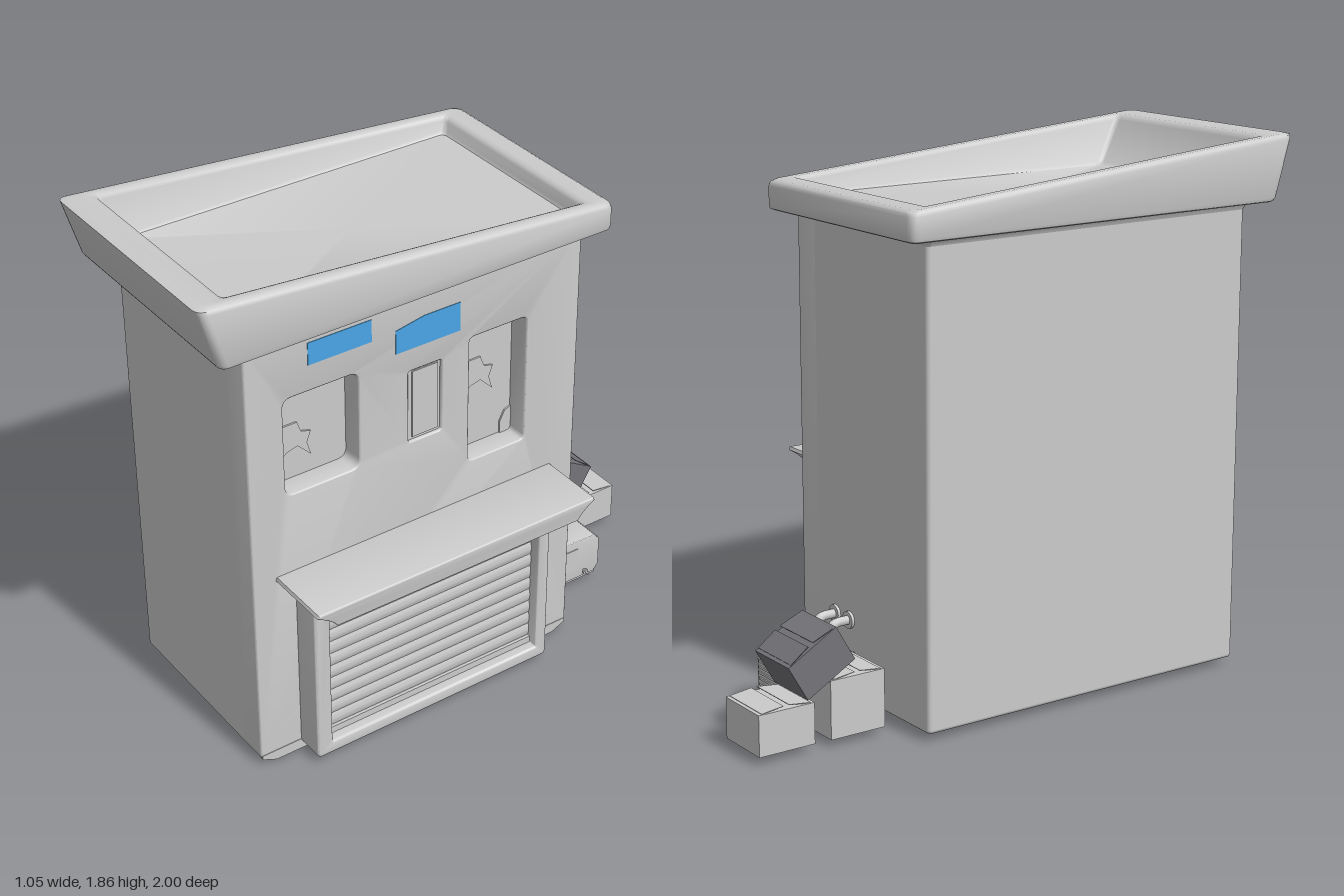
import * as THREE from 'three';
import { toCreasedNormals } from 'three/addons/utils/BufferGeometryUtils.js';
import { RoundedBoxGeometry } from 'three/addons/geometries/RoundedBoxGeometry.js';

const grey = new THREE.MeshStandardMaterial({ color: 0xcccccc });
const greyThin = new THREE.MeshStandardMaterial({ color: 0xcccccc, side: THREE.DoubleSide });
const blue = new THREE.MeshStandardMaterial({ color: 0x49a5e6 });
const dark = new THREE.MeshStandardMaterial({ color: 0x74747a });

function add(parent, name, geometry, material = grey) {
  const mesh = new THREE.Mesh(geometry, material);
  mesh.name = name;
  parent.add(mesh);
  return mesh;
}

// Box given by its extents, optionally with rounded edges
function box(parent, name, [x0, x1], [y0, y1], [z0, z1], r = 0, material = grey) {
  const size = [x1 - x0, y1 - y0, z1 - z0];
  const geo = r ? new RoundedBoxGeometry(...size, 3, r) : new THREE.BoxGeometry(...size);
  const mesh = add(parent, name, geo, material);
  mesh.position.set((x0 + x1) / 2, (y0 + y1) / 2, (z0 + z1) / 2);
  return mesh;
}

// Rounded rectangle in the side plane (shape x = -z, shape y = y)
function roundRect(path, z0, z1, y0, y1, r) {
  const a = -z1, b = -z0;
  path.moveTo(a + r, y0);
  path.lineTo(b - r, y0).quadraticCurveTo(b, y0, b, y0 + r);
  path.lineTo(b, y1 - r).quadraticCurveTo(b, y1, b - r, y1);
  path.lineTo(a + r, y1).quadraticCurveTo(a, y1, a, y1 - r);
  path.lineTo(a, y0 + r).quadraticCurveTo(a, y0, a + r, y0);
  return path;
}
const polygon = (zy) => new THREE.Shape(zy.map(([z, y]) => new THREE.Vector2(-z, y)));

// Extrude a side-plane shape from x0 to x1
function sideExtrude(shape, x0, x1, bevel = 0) {
  const geo = new THREE.ExtrudeGeometry(shape, {
    depth: x1 - x0 - 2 * bevel, bevelEnabled: bevel > 0, bevelSize: bevel,
    bevelThickness: bevel, bevelOffset: -bevel, bevelSegments: 3, curveSegments: 8,
  });
  geo.rotateY(Math.PI / 2).translate(x0 + bevel, 0, 0);
  return toCreasedNormals(geo, 0.6);
}

// Roof rim and basin, lofted through rounded rectangles whose top follows the slope
function roofGeometry() {
  const slope = (z) => 1.863 - (1 - z) * 0.084;
  const rings = [ // side inset, back z, front z, corner radius, height
    [0.05, -0.46, 0.83, 0.015, () => 1.612],
    [0.044, -0.466, 0.836, 0.015, () => 1.627],
    [0.03, -0.48, 0.85, 0.02, () => 1.633],
    [0.015, -0.535, 0.92, 0.02, () => 1.633],
    [0.004, -0.546, 0.93, 0.025, () => 1.638],
    [0, -0.55, 0.938, 0.03, () => 1.65],
    [0, -0.55, 0.995, 0.03, (z) => slope(z) - 0.02],
    [0.005, -0.546, 1.0, 0.03, (z) => slope(z) - 0.007],
    [0.018, -0.532, 0.98, 0.03, slope],
    [0.043, -0.475, 0.905, 0.02, slope],
    [0.054, -0.46, 0.89, 0.02, (z) => slope(z) - 0.006],
    [0.059, -0.452, 0.883, 0.02, (z) => slope(z) - 0.018],
    [0.063, -0.447, 0.815, 0.02, () => 1.69],
    [0.07, -0.44, 0.80, 0.02, () => 1.68],
  ];
  const pos = [], idx = [], steps = 5, n = 4 * steps;
  for (const [d, zb, zf, r, height] of rings) {
    const x0 = -0.527 + d, x1 = 0.334 - d;
    for (let c = 0; c < 4; c++) {
      const cx = c === 0 || c === 3 ? x1 - r : x0 + r;
      const cz = c < 2 ? zb + r : zf - r;
      for (let s = 0; s < steps; s++) {
        const t = (c + s / (steps - 1)) * Math.PI / 2;
        const z = cz - r * Math.sin(t);
        pos.push(cx + r * Math.cos(t), height(z), z);
      }
    }
  }
  for (let k = 0; k < rings.length - 1; k++) {
    for (let i = 0; i < n; i++) {
      const a = k * n + i, b = k * n + (i + 1) % n;
      idx.push(a, b, b + n, a, b + n, a + n);
    }
  }
  const last = (rings.length - 1) * n, centre = rings.length * n;
  pos.push(-0.0965, 1.68, 0.18);
  for (let i = 0; i < n; i++) idx.push(last + i, last + (i + 1) % n, centre);
  const geo = new THREE.BufferGeometry();
  geo.setAttribute('position', new THREE.Float32BufferAttribute(pos, 3));
  geo.setIndex(idx);
  return toCreasedNormals(geo, 0.8);
}

// Carton with two slightly raised lid flaps, centred on its origin
function carton(parent, name, h, y, z, material, tilt = 0) {
  const g = new THREE.Group();
  g.name = name;
  const w = 0.205;
  box(g, 'cartonBody', [-w / 2, w / 2], [-h / 2, h / 2], [-w / 2, w / 2], 0, material);
  for (const s of [-1, 1]) {
    const flap = box(g, 'cartonFlap', [-0.1, 0.1], [-0.001, 0.001], [-0.04, 0.04], 0, material);
    flap.position.set(0, h / 2 + 0.006, s * 0.05);
    flap.rotation.x = s * 0.12;
  }
  g.position.set(-0.222, y, z);
  g.rotation.x = tilt;
  parent.add(g);
}

export function createModel() {
  const root = new THREE.Group();
  root.name = 'kiosk';

  // Body core and the shop wall with window openings
  box(root, 'body', [-0.475, 0.2], [0.025, 1.65], [-0.46, 0.83], 0.015);
  const wall = roundRect(new THREE.Shape(), -0.46, 0.83, 0.025, 1.65, 0.02);
  wall.holes.push(
    roundRect(new THREE.Path(), 0.415, 0.695, 1.055, 1.415, 0.035),
    roundRect(new THREE.Path(), -0.245, -0.015, 0.905, 1.385, 0.02),
    roundRect(new THREE.Path(), 0.095, 0.225, 1.075, 1.345, 0.01),
  );
  add(root, 'shopWall', sideExtrude(wall, 0.17, 0.28, 0.006));
  add(root, 'wallSkirt', sideExtrude(polygon([[0.825, 0.025], [0.77, 0], [-0.40, 0], [-0.455, 0.025], [-0.455, 0.04], [0.825, 0.04]]), 0.27, 0.282));
  box(root, 'noticePanel', [0.19, 0.268], [1.06, 1.36], [0.08, 0.24]);
  box(root, 'noticePanelInset', [0.26, 0.272], [1.085, 1.335], [0.105, 0.205]);

  // Broken patches on the window backs
  const patch = [[0.68, 1.13], [0.685, 1.2], [0.66, 1.26], [0.60, 1.26], [0.585, 1.22],
    [0.55, 1.21], [0.565, 1.17], [0.55, 1.12], [0.60, 1.17], [0.64, 1.16]];
  for (const [dz, dy] of [[0, 0], [-0.715, -0.02]]) {
    add(root, 'windowPatch', sideExtrude(polygon(patch.map(([z, y]) => [z + dz, y + dy])), 0.198, 0.206));
  }
  add(root, 'windowCorner', sideExtrude(polygon([[-0.25, 0.9], [-0.2, 0.9], [-0.2, 0.95], [-0.22, 0.99], [-0.25, 1.0]]), 0.198, 0.206));

  // Blue signs
  box(root, 'signUpper', [0.275, 0.282], [1.51, 1.59], [0.365, 0.60], 0, blue);
  add(root, 'signLower', sideExtrude(polygon([[0.275, 1.43], [0.025, 1.43], [0.025, 1.535], [0.165, 1.535], [0.275, 1.515]]), 0.275, 0.282), blue);

  // Roof with open basin
  add(root, 'roof', roofGeometry());

  // Awning with flared ends
  const awning = new THREE.Shape();
  awning.moveTo(-0.67, 0.688).lineTo(0.295, 0.688);
  awning.quadraticCurveTo(0.315, 0.718, 0.365, 0.746).lineTo(0.36, 0.757);
  awning.lineTo(-0.74, 0.757).lineTo(-0.745, 0.746);
  awning.quadraticCurveTo(-0.69, 0.718, -0.67, 0.688);
  add(root, 'awning', sideExtrude(awning, 0.26, 0.526, 0.006));

  // Shutter frame
  const frame = roundRect(new THREE.Shape(), -0.29, 0.67, 0.025, 0.69, 0.018);
  frame.holes.push(roundRect(new THREE.Path(), -0.245, 0.61, 0.075, 0.595, 0.004));
  add(root, 'shutterFrame', sideExtrude(frame, 0.26, 0.387, 0.01));

  // Roller shutter: scalloped profile run along z
  const slats = 10, pitch = 0.51 / slats;
  const roller = new THREE.Shape();
  roller.moveTo(0.27, 0.1).lineTo(0.338, 0.1);
  for (let i = 0; i < slats; i++) {
    const y = 0.1 + i * pitch;
    roller.quadraticCurveTo(0.349, y + pitch / 2, 0.338, y + pitch);
  }
  roller.lineTo(0.27, 0.61);
  const rollerGeo = new THREE.ExtrudeGeometry(roller, { depth: 0.89, bevelEnabled: false, curveSegments: 8 });
  rollerGeo.translate(0, 0, -0.26);
  add(root, 'shutter', toCreasedNormals(rollerGeo, 0.5));
  box(root, 'shutterBottomBar', [0.27, 0.35], [0.06, 0.1], [-0.26, 0.62]);

  // Cooling unit against the back wall
  const unit = new THREE.Group();
  unit.name = 'coolingUnit';
  root.add(unit);
  add(unit, 'unitCase', sideExtrude(polygon([[-0.465, 0.06], [-0.485, 0.035], [-0.72, 0.035], [-0.742, 0.06],
    [-0.742, 0.175], [-0.715, 0.205], [-0.5, 0.205], [-0.465, 0.185]]), -0.047, 0.12, 0.003));
  for (const x of [-0.027, 0.1]) box(unit, 'unitFoot', [x - 0.015, x + 0.015], [0.025, 0.045], [-0.73, -0.53]);
  box(unit, 'unitSidePanel', [0.11, 0.123], [0.08, 0.17], [-0.64, -0.51]);
  for (let i = 0; i < 6; i++) {
    const y = 0.065 + i * 0.02;
    box(unit, 'unitFin', [-0.033, 0.105], [y, y + 0.008], [-0.747, -0.735]);
  }
  const rod = add(unit, 'unitRod', new THREE.CylinderGeometry(0.004, 0.004, 0.23, 10).rotateZ(Math.PI / 2));
  rod.position.set(0.036, 0.06, -0.672);
  for (const x of [-0.073, 0.133]) {
    const knob = add(unit, 'rodKnob', new THREE.CylinderGeometry(0.011, 0.011, 0.006, 12).rotateZ(Math.PI / 2));
    knob.position.set(x, 0.06, -0.672);
  }

  // Two elbow pipes from the wall into the unit
  for (const x of [-0.012, 0.073]) {
    const path = new THREE.CurvePath();
    const v = (y, z) => new THREE.Vector3(x, y, z);
    path.add(new THREE.LineCurve3(v(0.29, -0.455), v(0.29, -0.5)));
    path.add(new THREE.QuadraticBezierCurve3(v(0.29, -0.5), v(0.29, -0.54), v(0.25, -0.54)));
    path.add(new THREE.LineCurve3(v(0.25, -0.54), v(0.195, -0.54)));
    add(unit, 'pipe', new THREE.TubeGeometry(path, 24, 0.016, 10), greyThin);
    const flange = add(unit, 'pipeFlange', new THREE.CylinderGeometry(0.03, 0.03, 0.01, 16).rotateX(Math.PI / 2));
    flange.position.set(x, 0.29, -0.466);
    const collar = add(unit, 'pipeCollar', new THREE.CylinderGeometry(0.02, 0.02, 0.012, 16));
    collar.position.set(x, 0.209, -0.54);
  }

  // Stack of cartons behind the kiosk
  carton(root, 'cartonNear', 0.2, 0.125, -0.632, grey);
  carton(root, 'cartonFar', 0.14, 0.097, -0.8975, grey);
  carton(root, 'cartonTilted', 0.14, 0.29, -0.765, dark, -Math.PI / 6);

  return root;
}
